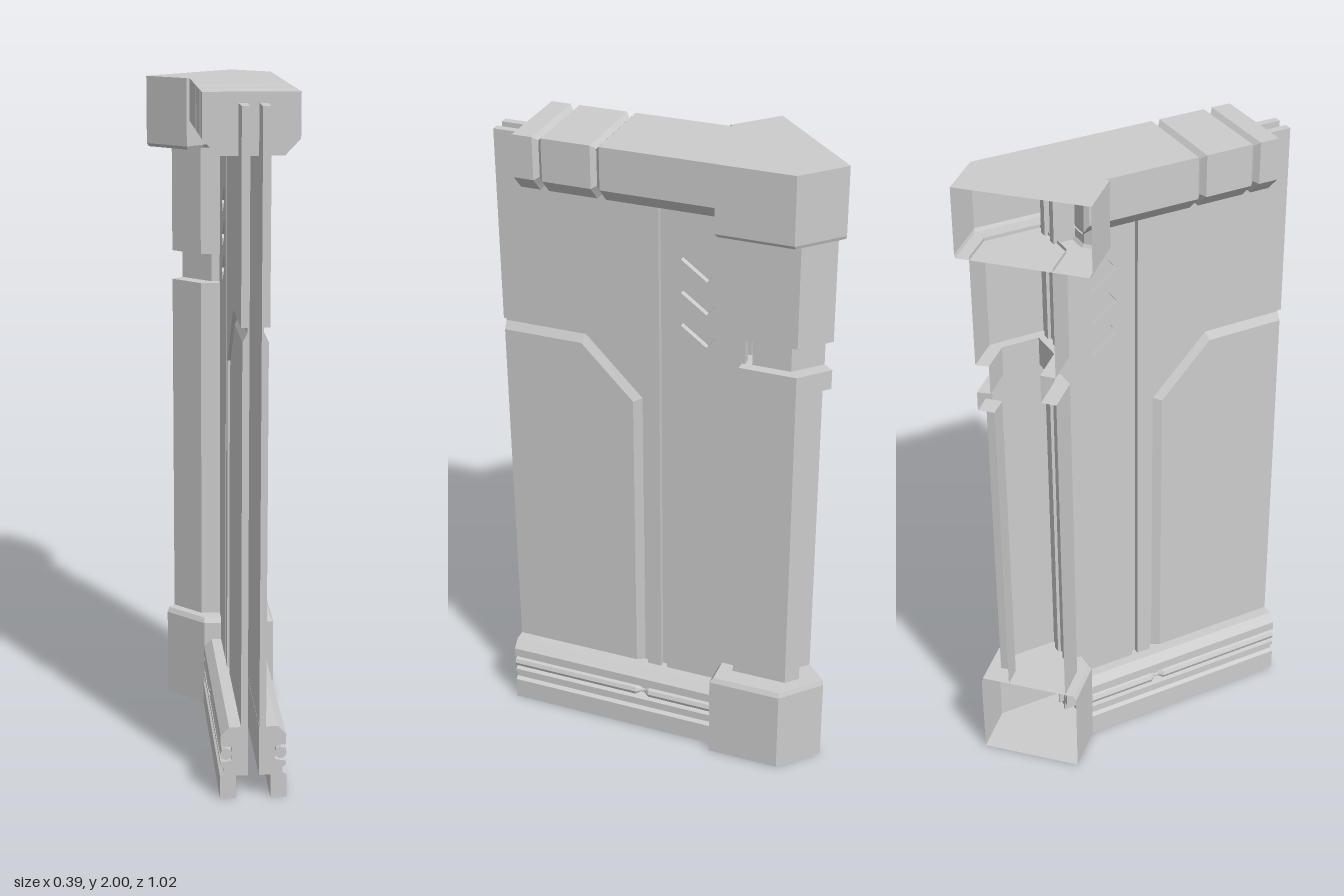
import * as THREE from 'three';

const mat = new THREE.MeshStandardMaterial({ color: 0xcccccc, flatShading: true, side: THREE.DoubleSide });
const CX = 0.0635; // middle plane of the double-skinned wall

function mesh(name, geo) {
  const m = new THREE.Mesh(geo, mat);
  m.name = name;
  return m;
}

// Skin a list of [points2D, height] layers; map turns (a, b, height) into a 3D point.
function loft(layers, map, { closed = true, start = false, end = false } = {}) {
  const pos = [];
  const put = (p, h) => pos.push(...map(p[0], p[1], h));
  for (let i = 0; i + 1 < layers.length; i++) {
    const [P, h] = layers[i], [Q, k] = layers[i + 1], n = P.length;
    for (let j = 0; j < (closed ? n : n - 1); j++) {
      const l = (j + 1) % n;
      put(P[j], h); put(P[l], h); put(Q[l], k);
      put(P[j], h); put(Q[l], k); put(Q[j], k);
    }
  }
  const cap = ([P, h]) => {
    const tris = THREE.ShapeUtils.triangulateShape(P.map(p => new THREE.Vector2(...p)), []);
    tris.flat().forEach(i => put(P[i], h));
  };
  if (start) cap(layers[0]);
  if (end) cap(layers[layers.length - 1]);
  const g = new THREE.BufferGeometry();
  g.setAttribute('position', new THREE.Float32BufferAttribute(pos, 3));
  g.computeVertexNormals();
  return g;
}

const upright = (x, z, y) => [x, y, z];
// Shrink a footprint about a point on the mitre line, so its ends stay on the mitre
const shrink = (pts, k) => pts.map(([x, z]) => [x * k, -0.432 + (z + 0.432) * k]);
const shape = pts => new THREE.Shape(pts.map(p => new THREE.Vector2(...p)));

// Plate drawn in (z, y), lying between distances d0 and d1 out from the middle plane
function plate(name, s, d0, d1) {
  const g = new THREE.ExtrudeGeometry(s, { depth: d1 - d0, bevelEnabled: false });
  g.rotateY(-Math.PI / 2);
  g.translate(-d0, 0, 0);
  return mesh(name, g);
}

function wallSide() {
  const side = new THREE.Group();

  // Inner skin and raised plates, split by the vertical groove
  side.add(plate('wallSkin', shape([[0.51, 0.07], [0.51, 1.97], [-0.24, 1.97], [-0.24, 0.07]]), 0.0165, 0.0225));
  side.add(plate('upperPlate', shape([[0.02, 0.1], [0.02, 1.97], [0.51, 1.97], [0.51, 1.38],
    [0.25, 1.38], [0.065, 1.19], [0.065, 0.1]]), 0.0225, 0.0395));

  // Rear plate with three slanted slots
  const rear = shape([[0, 0.1], [0, 1.97], [-0.24, 1.97], [-0.24, 0.1]]);
  const a = -0.64, c = Math.cos(a), s = Math.sin(a);
  for (let i = 0; i < 3; i++) {
    const y = 1.65 - i * 0.103;
    rear.holes.push(new THREE.Path([[-1, -1], [1, -1], [1, 1], [-1, 1]].map(([u, v]) => {
      const p = u * 0.048, q = v * 0.02;
      return new THREE.Vector2(-0.097 - (p * c - q * s), y + p * s + q * c);
    })));
  }
  side.add(plate('slottedPlate', rear, 0.0225, 0.0395));

  // Lower plate with a bevelled rim
  const rim = (t) => [[0.51, 0.1], [0.51, 1.365 - t], [0.255 + t * 0.4, 1.365 - t], [0.08 + t, 1.185 - t * 0.4], [0.08 + t, 0.1]];
  side.add(mesh('lowerPlate', loft([[rim(0), 0.0225], [rim(0.025), 0.036]],
    (z, y, d) => [-d, y, z], { end: true })));

  // Skirting strip along the floor
  const strip = shape([[0.016, 0.07], [0.016, 0.22], [0.07, 0.22], [0.094, 0.195], [0.094, 0.165], [0.062, 0.158],
    [0.062, 0.118], [0.094, 0.112], [0.094, 0.1], [0.084, 0.092], [0.084, 0.077], [0.096, 0.07],
    [0.096, 0], [0.05, 0], [0.05, 0.07]].map(([d, y]) => [-d, y]));
  const stripGeo = new THREE.ExtrudeGeometry(strip, { depth: 0.71, bevelEnabled: false });
  stripGeo.translate(0, 0, -0.2);
  side.add(mesh('skirting', stripGeo));

  // Pipe in the skirting channel, necked at its joint
  const pipe = new THREE.LatheGeometry([[0, -0.2], [0.018, -0.2], [0.018, 0.045], [0.006, 0.062],
    [0.006, 0.072], [0.018, 0.089], [0.018, 0.51], [0, 0.51]].map(p => new THREE.Vector2(...p)), 8);
  pipe.rotateX(Math.PI / 2);
  pipe.translate(-0.078, 0.138, 0);
  side.add(mesh('skirtingPipe', pipe));
  return side;
}

export function createModel() {
  const model = new THREE.Group();
  model.name = 'wallCorner';

  // Two mirrored wall faces with a gap between
  for (const k of [1, -1]) {
    const side = wallSide();
    side.name = k > 0 ? 'rightWall' : 'leftWall';
    side.position.x = CX;
    side.scale.x = k;
    model.add(side);
  }

  // Foot block, open on the mitred back
  const foot = [[0.08, -0.51], [0.192, -0.4], [0.192, -0.175], [-0.03, -0.175], [-0.142, -0.288]];
  model.add(mesh('footBlock', loft([[foot, 0], [foot, 0.275], [shrink(foot, 0.96), 0.29]],
    upright, { closed: false, start: true, end: true })));

  // Corner post: rebated shaft, collar, narrow neck, upper block
  const body = [[0.13, -0.4], [0.13, -0.23], [-0.035, -0.23], [-0.118, -0.314]];
  const shaft = [[0.015, -0.445], [0.06, -0.4], [0.095, -0.435], ...body];
  const full = [[0.05, -0.48], [0.05, -0.48], [0.095, -0.435], ...body];
  const neck = [[0.025, -0.45], [0.025, -0.45], [0.065, -0.41], [0.1, -0.375], [0.1, -0.26], [0, -0.26], [-0.085, -0.345]];
  model.add(mesh('cornerPost', loft([[shaft, 0.28], [shaft, 1.31], [full, 1.31], [full, 1.37],
    [neck, 1.37], [neck, 1.46], [full, 1.46], [full, 1.8]], upright, { closed: false })));

  // Head block, open on the mitred back
  const head = [[0.08, -0.51], [0.194, -0.4], [0.194, -0.175], [-0.03, -0.175], [-0.083, -0.122], [-0.197, -0.235]];
  model.add(mesh('headBlock', loft([[shrink(head, 0.97), 1.79], [head, 1.8], [head, 2]],
    upright, { closed: false, start: true, end: true })));

  // Top beam with two V grooves
  const beam = [[-0.074, 2], [-0.074, 1.875], [-0.03, 1.83], [0.15, 1.83], [0.193, 1.875], [0.193, 2]];
  const inset = beam.map(([x, y]) => [0.06 + (x - 0.06) * 0.89, 1.915 + (y - 1.915) * 0.85]);
  const layers = [[beam, -0.18]];
  for (const z of [0.168, 0.338]) layers.push([beam, z - 0.013], [inset, z], [beam, z + 0.013]);
  layers.push([beam, 0.41]);
  model.add(mesh('topBeam', loft(layers, (x, y, z) => [x, y, z], { end: true })));

  return model;
}
